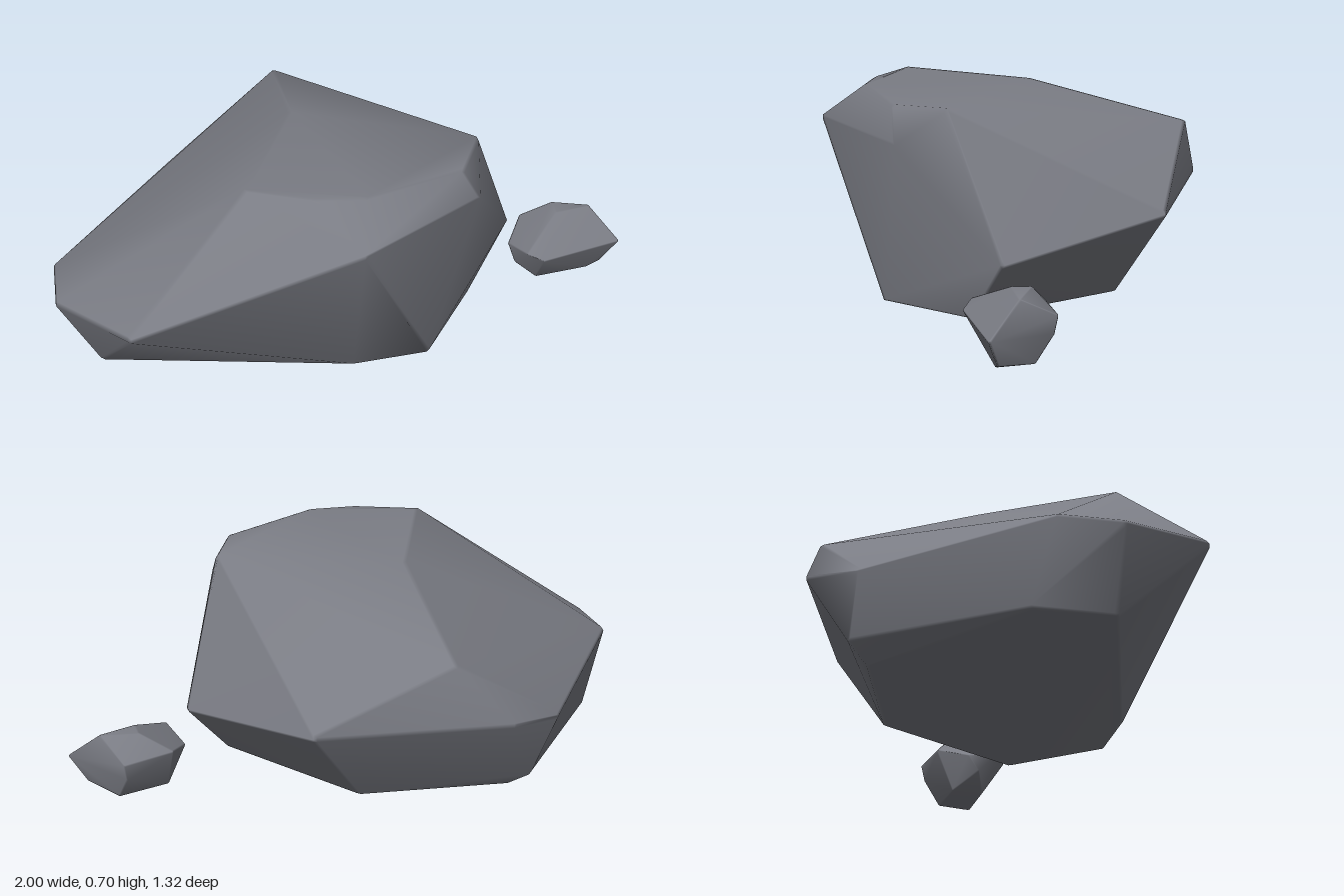
import * as THREE from 'three';
import { mergeVertices } from 'three/addons/utils/BufferGeometryUtils.js';
import { ConvexGeometry } from 'three/addons/geometries/ConvexGeometry.js';

// Convex stone around corner points, with softly worn edges of radius r.
function stone(name, corners, r, material) {
  const pts = corners.map((c) => new THREE.Vector3(...c));
  const centre = new THREE.Box3().setFromPoints(pts).getCenter(new THREE.Vector3());
  const ball = mergeVertices(new THREE.IcosahedronGeometry(r, 0).deleteAttribute('normal').deleteAttribute('uv'));
  const dirs = ball.getAttribute('position');
  const floor = Math.min(...pts.map((p) => p.y));
  const cloud = [];
  for (const p of pts) {
    const inner = p.clone().addScaledVector(centre.clone().sub(p).normalize(), r);
    for (let i = 0; i < dirs.count; i++) {
      const q = new THREE.Vector3().fromBufferAttribute(dirs, i).add(inner);
      q.y = Math.max(q.y, floor);
      cloud.push(q);
    }
  }
  // Shared vertices give large flat facets with smooth, narrow bevels.
  const hull = new ConvexGeometry(cloud);
  hull.deleteAttribute('normal');
  const geometry = mergeVertices(hull, 1e-5);
  geometry.computeVertexNormals();
  const mesh = new THREE.Mesh(geometry, material);
  mesh.name = name;
  return mesh;
}

export function createModel() {
  const group = new THREE.Group();
  group.name = 'rocks';
  const grey = new THREE.MeshStandardMaterial({ color: 0x7a7c84 });
  grey.name = 'stone grey';

  const boulder = [
    // flat top
    [-0.13, 0.7, -0.06], [-0.4, 0.7, 0.36], [-0.2, 0.7, 0.48], [-0.05, 0.7, 0.52],
    [0.3, 0.69, 0.44], [0.41, 0.695, 0.28],
    // shoulders
    [-0.1, 0.59, 0.66], [0.36, 0.58, 0.44], [-0.04, 0.55, -0.59],
    // widest ring
    [0.6, 0.23, 0.12], [0.39, 0.33, -0.44], [-0.22, 0.34, -0.66], [-0.46, 0.26, -0.54],
    [-0.97, 0.26, -0.03], [-1, 0.25, 0.17], [-0.83, 0.31, 0.5],
    // base
    [0.43, 0.01, 0.2], [0.17, 0.01, -0.31], [-0.32, 0.01, -0.47], [-0.36, 0.07, -0.54],
    [-0.86, 0.01, -0.08], [-0.87, 0.01, 0.18], [-0.07, 0.01, 0.46], [0.19, 0.01, 0.47],
  ];
  group.add(stone('boulder', boulder, 0.015, grey));

  const pebble = [
    // top
    [0.8, 0.22, 0.05], [0.92, 0.215, 0.1], [0.79, 0.22, 0.11],
    // widest ring
    [0.62, 0.11, 0.1], [0.64, 0.14, 0.22], [0.69, 0.12, 0.25], [1, 0.11, 0.2],
    [0.88, 0.15, -0.02], [0.7, 0.15, 0], [0.87, 0.09, -0.01],
    // base
    [0.63, 0.06, 0.14], [0.7, 0, 0.06], [0.7, 0, 0.17], [0.9, 0, 0.17], [0.88, 0, 0.05], [0.95, 0.02, 0.17],
  ];
  group.add(stone('pebble', pebble, 0.006, grey));
  return group;
}
